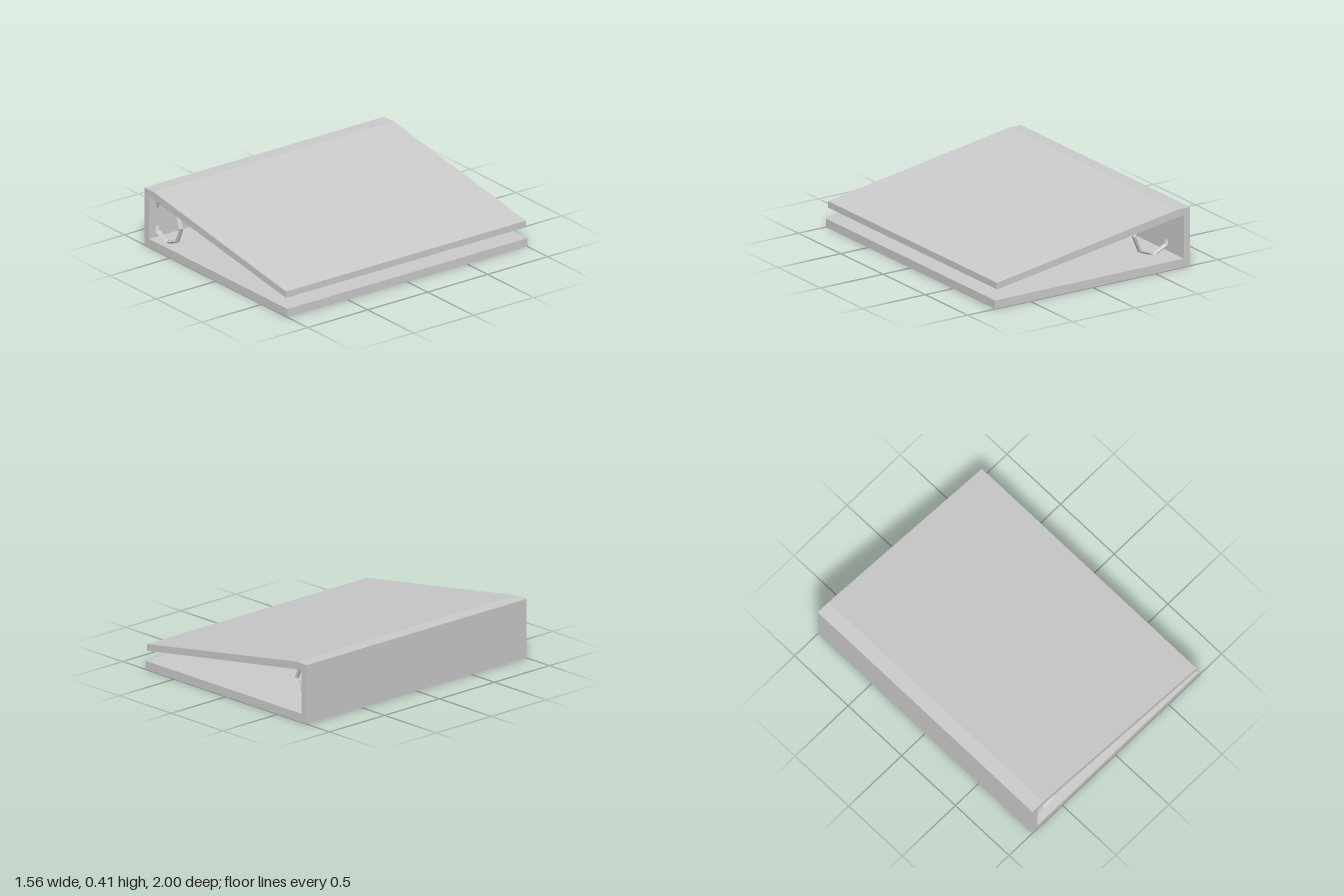
import * as THREE from 'three';

export function createModel() {
  const group = new THREE.Group();
  const material = new THREE.MeshStandardMaterial({ color: 0xcccccc, flatShading: true });

  // Folded cover: base board, spine and sloping lid in one profile
  const profile = [
    [-0.78, 0], [0.78, 0], [0.78, 0.06], [-0.73, 0.06], [-0.73, 0.367],
    [0.764, 0.134], [0.764, 0.18], [-0.68, 0.413], [-0.78, 0.413],
  ].map(([x, y]) => new THREE.Vector2(x, y));
  const coverGeometry = new THREE.ExtrudeGeometry(new THREE.Shape(profile), { depth: 2, bevelEnabled: false });
  coverGeometry.translate(0, 0, -1);
  const cover = new THREE.Mesh(coverGeometry, material);
  cover.name = 'cover';
  group.add(cover);

  // Eight-sided binder rings with a flattened hexagonal section
  const section = [];
  for (let i = 0; i <= 6; i++) {
    const a = (i / 6) * Math.PI * 2 + Math.PI / 2;
    section.push(new THREE.Vector2(0.149 + 0.012 * Math.cos(a), 0.019 * Math.sin(a)));
  }
  const ringGeometry = new THREE.LatheGeometry(section, 8);
  ringGeometry.rotateX(Math.PI / 2);
  [0.93, 0.023, -0.795].forEach((z, i) => {
    const ring = new THREE.Mesh(ringGeometry, material);
    ring.name = `ring${i + 1}`;
    ring.position.set(-0.618, 0.205, z);
    group.add(ring);
  });

  return group;
}
